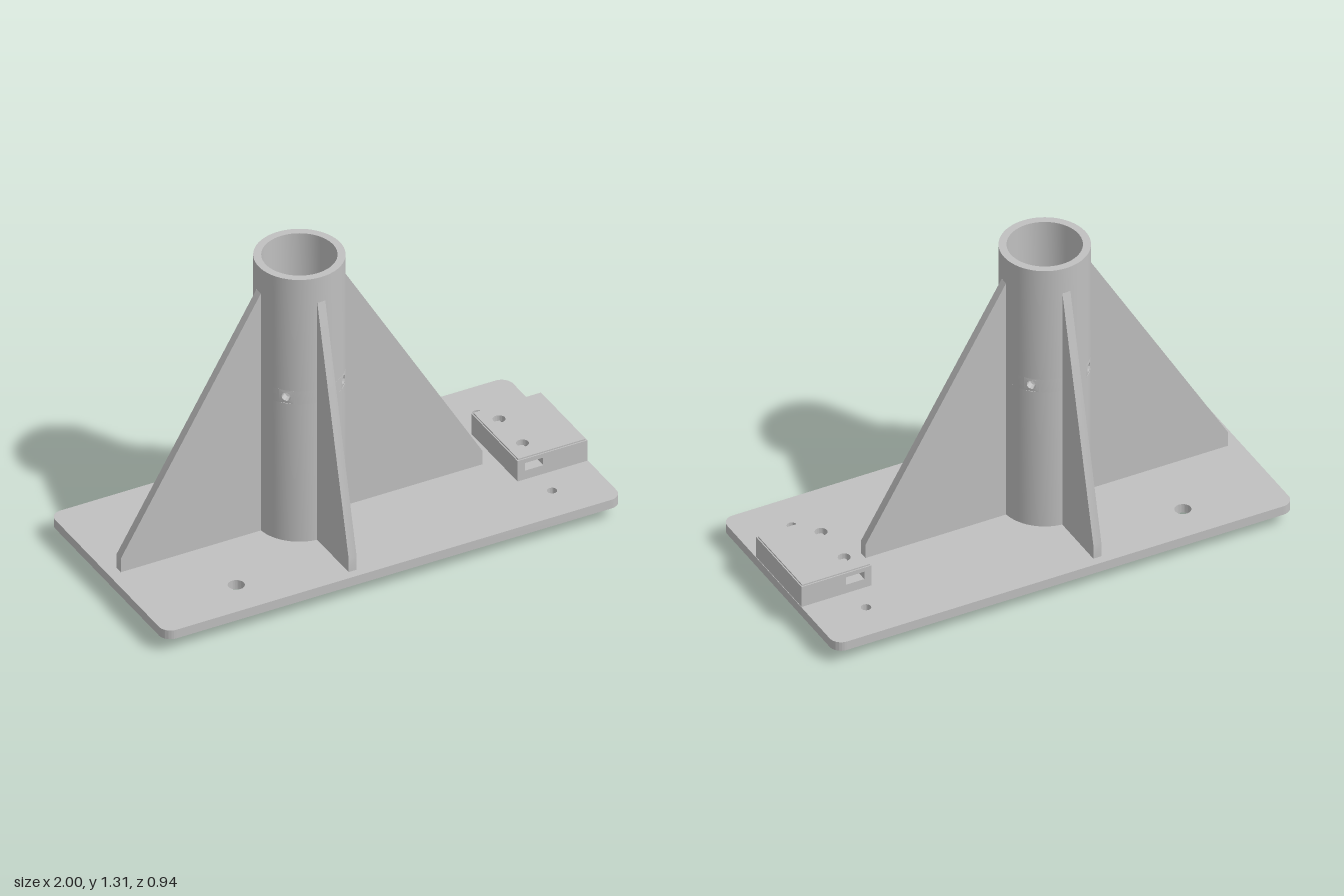
import * as THREE from 'three';
import { toCreasedNormals } from 'three/addons/utils/BufferGeometryUtils.js';

const TUBE_X = -0.16, R_OUT = 0.178, R_IN = 0.147;
const BASE_TOP = 0.1, BASE_BOTTOM = 0.06, TUBE_TOP = 1.31;
const RAIL_Z = 0.305, POCKET_X = -0.6, HOLE_X = 0.78;

export function createModel() {
  const model = new THREE.Group();
  model.name = 'postStand';
  const grey = new THREE.MeshStandardMaterial({ color: 0xc0c0c0 });
  grey.name = 'grey';

  const add = (name, geometry, parent = model) => {
    const mesh = new THREE.Mesh(toCreasedNormals(geometry, 0.6), grey);
    mesh.name = name;
    parent.add(mesh);
    return mesh;
  };
  const group = (name) => {
    const g = new THREE.Group();
    g.name = name;
    model.add(g);
    return g;
  };
  const polygon = (pts) => new THREE.Shape(pts.map(([x, y]) => new THREE.Vector2(x, y)));
  const rect = (x0, x1, y0, y1) => polygon([[x0, y0], [x1, y0], [x1, y1], [x0, y1]]);
  const drill = (shape, x, y, r) => {
    shape.holes.push(new THREE.Path().absarc(x, y, r, 0, Math.PI * 2, true));
    return shape;
  };
  const extrude = (shape, depth) =>
    new THREE.ExtrudeGeometry(shape, { depth, bevelEnabled: false, curveSegments: 24 });
  // Plan outline (x, -z) raised from y0 to y1
  const slab = (shape, y0, y1) => extrude(shape, y1 - y0).rotateX(-Math.PI / 2).translate(0, y0, 0);

  // Base plate with rounded corners
  const w = 1, d = 0.47, c = 0.05;
  const plate = new THREE.Shape();
  plate.absarc(w - c, d - c, c, 0, Math.PI / 2);
  plate.absarc(-w + c, d - c, c, Math.PI / 2, Math.PI);
  plate.absarc(-w + c, -d + c, c, Math.PI, Math.PI * 1.5);
  plate.absarc(w - c, -d + c, c, Math.PI * 1.5, Math.PI * 2);
  drill(plate, TUBE_X, 0, 0.075);
  for (const s of [-1, 1]) {
    drill(plate, POCKET_X, s * RAIL_Z, 0.033);
    drill(plate, HOLE_X, s * RAIL_Z, 0.02);
  }
  add('basePlate', slab(plate, BASE_BOTTOM, BASE_TOP));

  // Tube: plain lengths above and below a band pierced by four holes
  const tube = group('tube');
  tube.position.x = TUBE_X;
  const ring = (y0, y1, start, length, segments) => new THREE.LatheGeometry(
    [[R_IN, y0], [R_OUT, y0], [R_OUT, y1], [R_IN, y1], [R_IN, y0]]
      .map(([x, y]) => new THREE.Vector2(x, y)), segments, start, length);
  const holeY = 0.765, half = 0.03, halfAngle = half / R_OUT;
  add('lowerTube', ring(BASE_TOP, holeY - half, 0, Math.PI * 2, 64), tube);
  add('upperTube', ring(holeY + half, TUBE_TOP, 0, Math.PI * 2, 64), tube);
  for (let i = 0; i < 4; i++) {
    const angle = Math.PI / 4 + i * Math.PI / 2;
    add('tubeBand', ring(holeY - half, holeY + half, angle + halfAngle,
      Math.PI / 2 - 2 * halfAngle, 14), tube);
    // Flat drilled patch bent round the tube
    const patch = extrude(drill(rect(-half, half, -half, half), 0, 0, 0.018), R_OUT - R_IN);
    const p = patch.attributes.position;
    for (let k = 0; k < p.count; k++) {
      const a = angle + p.getX(k) / R_OUT, r = R_IN + p.getZ(k);
      p.setXYZ(k, r * Math.sin(a), holeY + p.getY(k), r * Math.cos(a));
    }
    add('drilledTubePatch', patch, tube);
  }

  // Four bracing fins
  const fins = group('fins');
  fins.position.x = TUBE_X;
  for (let i = 0; i < 4; i++) {
    const reach = i % 2 ? 0.432 : 0.79;
    const shape = polygon([[0.16, BASE_TOP], [reach, BASE_TOP], [reach, 0.163],
      [R_OUT, 1.195], [0.16, 1.195]]);
    add('fin', extrude(shape, 0.035).translate(0, 0, -0.0175), fins).rotation.y = i * Math.PI / 2;
  }

  // Slotted block at the end of the plate
  const block = group('slottedBlock');
  const bx0 = 0.693, bx1 = 0.998, bz = 0.187;
  const body = polygon([[bx0, 0.1], [bx1, 0.1], [bx1, 0.175], [0.805, 0.175],
    [0.805, 0.14], [0.725, 0.14], [0.725, 0.175], [bx0, 0.175]]);
  add('blockBody', extrude(body, bz * 2).translate(0, 0, -bz), block);
  const lid = (inset) => {
    const shape = rect(bx0 + inset, bx1 - inset, -bz + inset, bz - inset);
    return drill(drill(shape, 0.765, 0.097, 0.025), 0.765, -0.093, 0.025);
  };
  add('blockLid', slab(lid(0), 0.175, 0.194), block);
  add('blockLidRim', slab(lid(0.005), 0.194, 0.2), block);

  // Two T-shaped guide rails below, each with a nut pocket
  for (const s of [-1, 1]) {
    const rail = group(s > 0 ? 'frontRail' : 'backRail');
    rail.position.z = s * RAIL_Z;
    const x0 = -0.945, x1 = 0.895, hw = 0.0225, pocket = 0.03;
    add('railStem', slab(drill(drill(rect(x0, x1, -hw, hw), POCKET_X, 0, 0.02), HOLE_X, 0, 0.02),
      0.012, 0.035), rail);
    add('railStemEnd', slab(rect(x0, POCKET_X - pocket, -hw, hw), 0.035, BASE_BOTTOM), rail);
    add('railStemMain', slab(drill(rect(POCKET_X + pocket, x1, -hw, hw), HOLE_X, 0, 0.02),
      0.035, BASE_BOTTOM), rail);
    add('railFlange', slab(drill(rect(-0.685, 0.365, -0.035, 0.035), POCKET_X, 0, 0.02),
      0, 0.012), rail);
  }
  return model;
}
